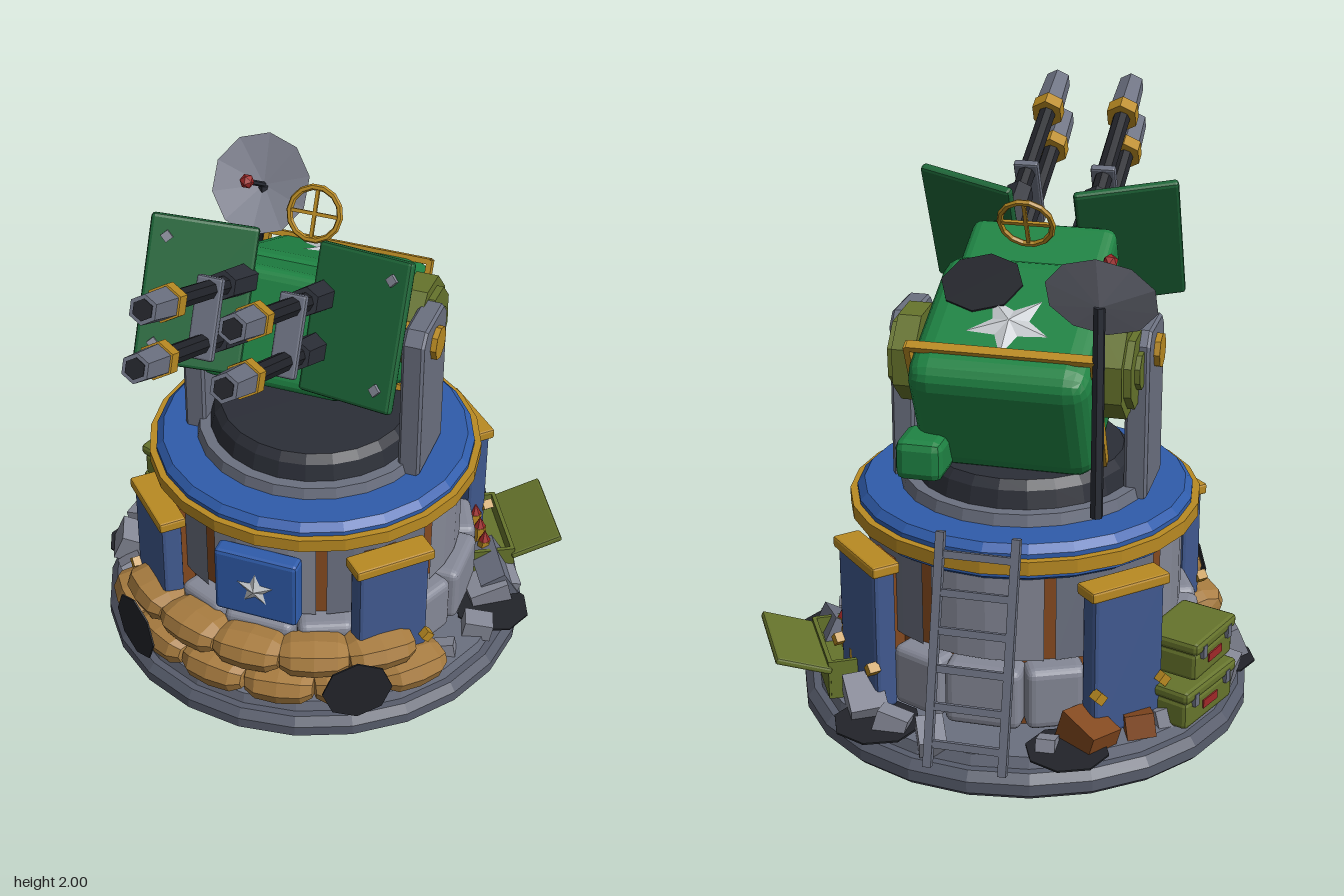
import * as THREE from 'three';
import { RoundedBoxGeometry } from 'three/addons/geometries/RoundedBoxGeometry.js';

const C = {
  steel: 0x6b7080, stone: 0x858896, slab: 0x575c6b, dark: 0x2b2e37, soot: 0x22242a, blue: 0x2f5cab,
  plate: 0x40598f, gold: 0xb98a22, green: 0x1f8444, shield: 0x1d6638, olive: 0x66742c,
  sand: 0xa87c40, rust: 0x84491f, red: 0xa02828, white: 0xc8ccd0, teal: 0x2a9a9a,
};
const DEG = Math.PI / 180;

function add(parent, name, geo, color, pos = [0, 0, 0], rot = [0, 0, 0], double = false) {
  const mat = new THREE.MeshStandardMaterial({ color, flatShading: true, side: double ? THREE.DoubleSide : THREE.FrontSide });
  const m = new THREE.Mesh(geo, mat);
  m.name = name;
  m.position.set(...pos);
  m.rotation.set(...rot);
  parent.add(m);
  return m;
}
function group(parent, name, pos = [0, 0, 0], rot = [0, 0, 0]) {
  const g = new THREE.Group();
  g.name = name;
  g.position.set(...pos);
  g.rotation.set(...rot);
  parent.add(g);
  return g;
}
// group turned so its +z points outward at an angle from the front
const spoke = (parent, name, deg, r = 0, y = 0) =>
  group(parent, name, [Math.sin(deg * DEG) * r, y, Math.cos(deg * DEG) * r], [0, deg * DEG, 0]);
const box = (w, h, d) => new THREE.BoxGeometry(w, h, d);
const rbox = (w, h, d, r = 0.015, s = 1) => new RoundedBoxGeometry(w, h, d, s, r);
const cyl = (r0, r1, h, n) => new THREE.CylinderGeometry(r0, r1, h, n);
const lathe = (pts, n = 24) => new THREE.LatheGeometry(pts.map(p => new THREE.Vector2(...p)), n);

// raised five-pointed star lying on y, one point towards +z
function star(r) {
  const g = new THREE.ConeGeometry(r, 0.025, 10, 1), p = g.attributes.position;
  for (let i = 0; i < p.count; i++) {
    const k = Math.round(Math.atan2(p.getX(i), p.getZ(i)) / (Math.PI / 5));
    if (k % 2) { p.setX(i, p.getX(i) * 0.45); p.setZ(i, p.getZ(i) * 0.45); }
  }
  return g;
}
// blunt-ended low-poly sack, long along x
function sack(l, h, d) {
  const g = new THREE.SphereGeometry(1, 8, 6).rotateZ(Math.PI / 2), p = g.attributes.position;
  const f = v => Math.sign(v) * Math.pow(Math.abs(v), 0.7);
  for (let i = 0; i < p.count; i++) p.setXYZ(i, f(p.getX(i)) * l / 2, f(p.getY(i)) * h / 2, f(p.getZ(i)) * d / 2);
  return g;
}

function buildTower(t) {
  add(t, 'basePlate', lathe([[0, 0], [0.77, 0], [0.79, 0.02], [0.79, 0.06], [0.765, 0.09], [0, 0.09]]), C.slab);
  add(t, 'baseStep', cyl(0.73, 0.74, 0.05, 24), C.steel, [0, 0.105, 0]);
  add(t, 'towerCore', cyl(0.52, 0.52, 0.57, 24), C.rust, [0, 0.41, 0]);
  for (let i = 0; i < 8; i++) {
    const s = spoke(t, 'wallSection', i * 45);
    const half = 20.5 * DEG;
    add(s, 'wallPanel', new THREE.CylinderGeometry(0.545, 0.545, 0.31, 4, 1, true, -half, 2 * half), i % 2 ? C.steel : C.stone, [0, 0.535, 0], [0, 0, 0], true);
  }
  // footing blocks and corner buttresses
  for (let q = 0; q < 4; q++) {
    for (const [a, w] of [[-24, 0.2], [0, 0.26], [24, 0.2]])
      add(spoke(t, 'footing', q * 90 + a), 'footingBlock', rbox(w, 0.22, 0.14, 0.03, 2), C.stone, [0, 0.26, 0.53]);
    const b = spoke(t, 'buttress', q * 90 + 45);
    add(b, 'buttressPlate', rbox(0.27, 0.52, 0.08), C.plate, [0, 0.4, 0.62]);
    add(b, 'buttressCap', rbox(0.3, 0.04, 0.1, 0.008), C.gold, [0, 0.66, 0.62]);
    add(b, 'buttressBrace', box(0.12, 0.5, 0.1), C.rust, [0, 0.4, 0.55]);
    for (const s of [-1, 1]) add(b, 'buttressBolt', box(0.035, 0.035, 0.04), C.gold, [s * 0.125, 0.3, 0.67], [0, 0, 45 * DEG]);
  }
  add(t, 'topRing', lathe([[0, 0.68], [0.55, 0.68], [0.58, 0.7], [0.58, 0.785], [0.555, 0.81], [0, 0.81]]), C.blue);
  add(t, 'ringBand', cyl(0.605, 0.605, 0.048, 24), C.gold, [0, 0.745, 0]);
  add(t, 'turntable', cyl(0.42, 0.43, 0.04, 24), C.steel, [0, 0.83, 0]);
  add(t, 'turntableDome', lathe([[0.38, 0.85], [0.365, 0.91], [0.34, 0.94], [0, 0.95]]), C.dark);
  // front emblem plate
  add(t, 'emblemPlate', rbox(0.31, 0.27, 0.07), C.blue, [0, 0.525, 0.575]);
  add(t, 'emblemStar', star(0.1), C.white, [0, 0.52, 0.615], [Math.PI / 2, Math.PI, 0]);
}

function buildClutter(t) {
  // two courses of sandbags around the front
  for (let i = 0; i < 6; i++) add(spoke(t, 'lowerSandbag', -50 + i * 20), 'sandbag', sack(0.27, 0.13, 0.2), C.sand, [0, 0.19, 0.68]);
  for (let i = 0; i < 5; i++) add(spoke(t, 'upperSandbag', -40 + i * 20), 'sandbag', sack(0.27, 0.12, 0.19), C.sand, [0, 0.3, 0.66]);
  for (const a of [-35, 31]) add(spoke(t, 'scorch', a), 'scorchDisc', cyl(0.125, 0.125, 0.006, 8), C.soot, [0, 0.235, 0.79], [Math.PI / 2, 0, 0]);
  // soot patches on the base
  for (const [x, z, r] of [[0.355, -0.62, 0.15], [-0.3, -0.64, 0.14], [-0.69, 0.1, 0.12], [0.7, -0.01, 0.14]])
    add(t, 'sootPatch', cyl(r, r, 0.006, 8), C.soot, [x, 0.137, z]);
  // leaning ladder
  const l = group(t, 'ladder', [0, 0.485, -0.707], [0.254, 0, 0]);
  for (const s of [-1, 1]) add(l, 'ladderRail', box(0.028, 0.775, 0.028), C.steel, [s * 0.125, 0, 0]);
  for (let i = 0; i < 6; i++) add(l, 'ladderRung', box(0.25, 0.024, 0.02), C.steel, [0, -0.31 + i * 0.125, 0]);
  // stacked closed crates
  for (const [a, y, r, w] of [[-112, 0.13, 0.67, 0.3], [-109, 0.285, 0.66, 0.26]]) {
    const c = spoke(t, 'closedCrate', a, r, y);
    add(c, 'crateBody', rbox(w, 0.1, 0.19), C.olive, [0, 0.05, 0]);
    add(c, 'crateLid', rbox(w + 0.02, 0.045, 0.21), C.olive, [0, 0.122, 0]);
    add(c, 'crateLabel', box(0.09, 0.03, 0.01), C.red, [0, 0.055, 0.095]);
    for (const s of [-1, 1]) add(c, 'crateClasp', box(0.025, 0.045, 0.015), C.steel, [s * w * 0.33, 0.1, 0.1]);
  }
  // open crate with shells
  const o = spoke(t, 'openCrate', 119, 0.65, 0.13);
  add(o, 'crateFloor', box(0.34, 0.08, 0.16), C.olive, [0, 0.04, 0]);
  for (const s of [-1, 1]) {
    add(o, 'crateLongSide', box(0.34, 0.14, 0.015), C.olive, [0, 0.07, s * 0.08]);
    add(o, 'crateEnd', box(0.015, 0.14, 0.16), C.olive, [s * 0.165, 0.07, 0]);
  }
  add(o, 'openLid', rbox(0.36, 0.025, 0.2, 0.008), C.olive, [0, 0.14, 0.17], [-20 * DEG, 0, 0]);
  for (let i = 0; i < 4; i++) {
    add(o, 'shellCase', cyl(0.025, 0.025, 0.09, 6), C.gold, [-0.12 + i * 0.08, 0.11, -0.02]);
    add(o, 'shellTip', new THREE.ConeGeometry(0.025, 0.05, 6), C.red, [-0.12 + i * 0.08, 0.175, -0.02]);
  }
  // scattered rubble
  let seed = 7;
  const rnd = () => (seed = (seed * 16807) % 2147483647) / 2147483647;
  for (const a of [66, 80, 96, 102, 142, 155, 168, 200, 212, 228, 238, 268, 282, 292]) {
    const s = 0.05 + rnd() * 0.06;
    add(spoke(t, 'rubble', a), 'rubbleChunk', box(s * 1.5, s, s * 1.2), rnd() < 0.2 ? C.rust : C.stone,
      [0, 0.12 + s * 0.45, 0.64 + rnd() * 0.07], [rnd() - 0.5, rnd() * 3, rnd() - 0.5]);
  }
  add(spoke(t, 'slab', 103), 'brokenSlab', box(0.2, 0.14, 0.1), C.steel, [0, 0.19, 0.68], [-0.5, 0.2, 0.3]);
}

function buildMount(t) {
  // yoke arms with chamfered tops
  const s = new THREE.Shape([[-0.125, 0], [0.125, 0], [0.125, 0.53], [0.09, 0.57], [-0.09, 0.57], [-0.125, 0.53]].map(p => new THREE.Vector2(...p)));
  const arm = new THREE.ExtrudeGeometry(s, { depth: 0.06, bevelEnabled: true, bevelSize: 0.008, bevelThickness: 0.01, bevelSegments: 1 }).translate(0, 0, -0.03);
  for (const k of [-1, 1]) {
    add(t, 'yokeArm', arm, C.steel, [k * 0.405, 0.82, 0.025], [0, Math.PI / 2, 0]);
    add(t, 'pivotBolt', cyl(0.06, 0.06, 0.18, 8), C.gold, [k * 0.375, 1.3, 0.025], [0, 0, Math.PI / 2]);
  }
  // dish on a pole
  add(t, 'dishPole', cyl(0.02, 0.022, 0.72, 6), C.dark, [-0.325, 1.2, -0.345]);
  const d = group(t, 'dish', [-0.325, 1.57, -0.33], [-32 * DEG, 0, 0]);
  add(d, 'dishBowl', new THREE.ConeGeometry(0.185, 0.04, 10, 1, true), C.stone, [0, 0, 0], [-Math.PI / 2, 0, 0], true);
  add(d, 'dishRod', cyl(0.01, 0.01, 0.17, 6), C.dark, [0, 0, 0.07], [Math.PI / 2, 0, 0]);
  add(d, 'dishReceiver', new THREE.IcosahedronGeometry(0.027, 0), C.red, [0, 0, 0.17]);
  // control box beside the gun
  add(t, 'controlBox', rbox(0.16, 0.14, 0.18, 0.03), C.green, [0.26, 1.0, -0.33]);
  add(t, 'controlLamp', box(0.03, 0.08, 0.02), C.teal, [0.32, 1.01, -0.24]);
}

function buildGun(t) {
  const g = group(t, 'gun', [0, 1.3, 0.025], [-25 * DEG, 0, 0]);
  const alongZ = [Math.PI / 2, 0, 0], alongX = [0, 0, Math.PI / 2];
  add(g, 'gunBody', rbox(0.61, 0.46, 0.61, 0.08, 2), C.green, [0, -0.01, -0.115]);
  add(g, 'gunNeck', rbox(0.51, 0.4, 0.26, 0.04, 2), C.green, [0, 0, 0.25]);
  // strap frame around the body
  for (const s of [-1, 1]) {
    add(g, 'strapSide', box(0.02, 0.48, 0.035), C.gold, [s * 0.308, -0.01, -0.3]);
    add(g, 'strapBar', box(0.62, 0.02, 0.035), C.gold, [0, -0.01 + s * 0.234, -0.3]);
  }
  add(g, 'topStar', star(0.16), C.white, [0, 0.23, -0.16], [0, Math.PI, 0]);
  add(g, 'topPatch', cyl(0.14, 0.14, 0.006, 8), C.soot, [0.135, 0.226, 0.02]);
  // ring sight
  const r = group(g, 'ringSight', [0, 0.375, 0.16]);
  add(r, 'sightRing', new THREE.TorusGeometry(0.09, 0.011, 6, 14), C.gold);
  add(r, 'sightUpright', box(0.012, 0.18, 0.012), C.gold);
  add(r, 'sightCross', box(0.18, 0.012, 0.012), C.gold);

  for (const s of [-1, 1]) {
    // side drums and hub patches
    add(g, 'drum', cyl(0.165, 0.165, 0.08, 8), C.olive, [s * 0.345, 0.04, -0.14], alongX);
    add(g, 'drumFace', cyl(0.13, 0.13, 0.03, 8), C.olive, [s * 0.395, 0.04, -0.14], alongX);
    add(g, 'drumHub', cyl(0.065, 0.065, 0.025, 8), C.olive, [s * 0.415, 0.04, -0.14], alongX);
    add(g, 'sidePatch', cyl(0.09, 0.09, 0.01, 6), C.soot, [s * 0.305, 0, 0.12], alongX);
    // swept shield wing
    const w = group(g, 'shieldWing', [s * 0.28, 0.075, 0.43], [0, -s * 17 * DEG, 0]);
    add(w, 'shieldPlate', rbox(0.36, 0.5, 0.035, 0.012), C.shield);
    for (const v of [-1, 1]) add(w, 'shieldBolt', box(0.03, 0.03, 0.02), C.stone, [s * 0.12, v * 0.18, 0.02], [0, 0, 45 * DEG]);
    // paired barrels
    for (const u of [0.148, -0.028]) {
      const b = group(g, 'barrel', [s * 0.14, u, 0]);
      add(b, 'barrelSleeve', cyl(0.05, 0.055, 0.2, 6), C.dark, [0, 0, 0.48], alongZ);
      add(b, 'barrelTube', cyl(0.032, 0.032, 0.62, 8), C.soot, [0, 0, 0.75], alongZ);
      add(b, 'barrelRing', cyl(0.06, 0.06, 0.055, 6), C.gold, [0, 0, 1.045], alongZ);
      add(b, 'muzzle', cyl(0.047, 0.053, 0.155, 6), C.steel, [0, 0, 1.15], alongZ);
      add(b, 'bore', cyl(0.034, 0.034, 0.01, 6), C.soot, [0, 0, 1.226], alongZ);
    }
    add(g, 'barrelBracket', rbox(0.09, 0.27, 0.03, 0.008), C.steel, [s * 0.14, 0.055, 0.69]);
  }
}

export function createModel() {
  const root = new THREE.Group();
  root.name = 'gunTurret';
  const t = group(root, 'turret', [-0.055, 0, -0.18]);
  buildTower(t);
  buildClutter(t);
  buildMount(t);
  buildGun(t);
  return root;
}
